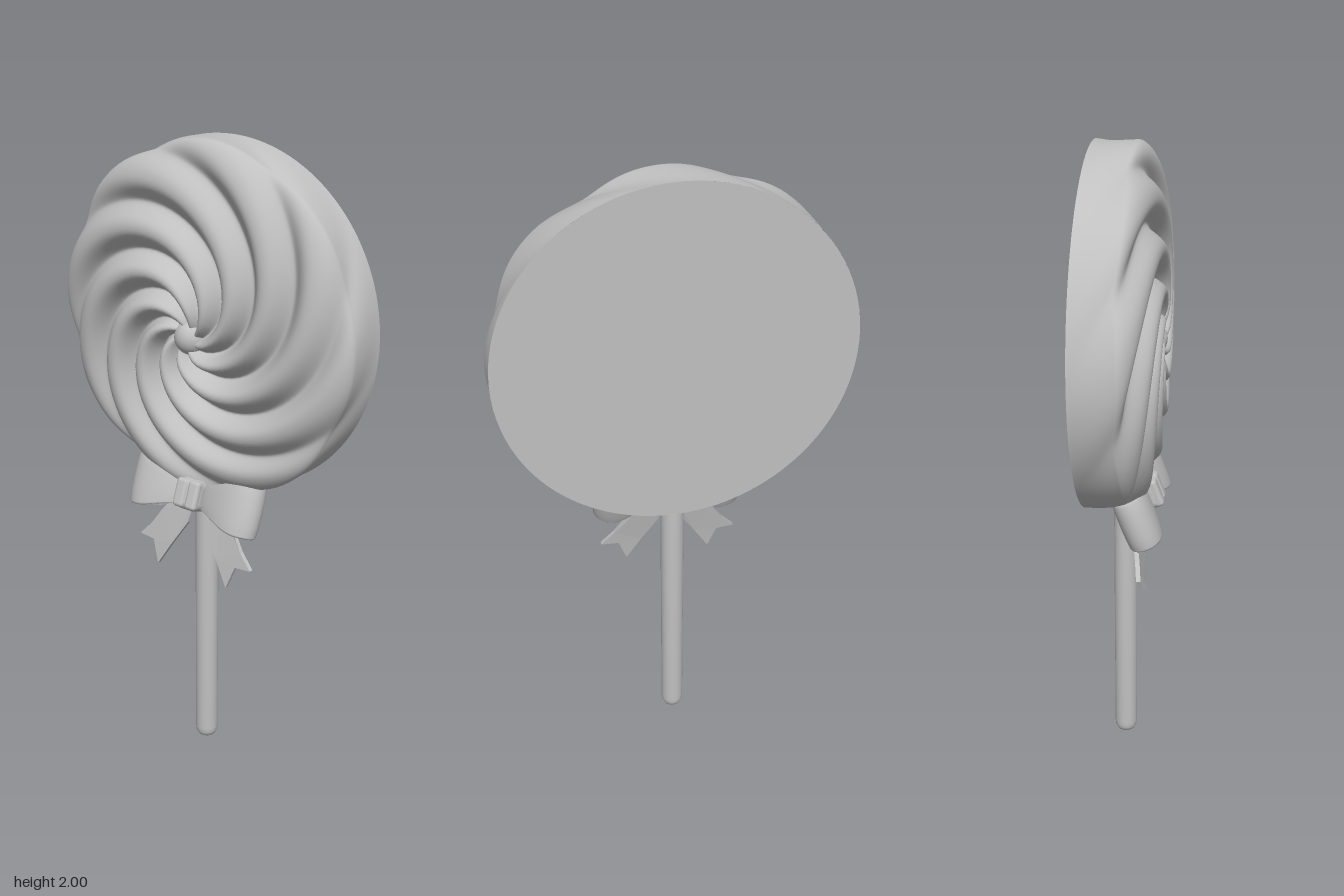
import * as THREE from 'three';
import { RoundedBoxGeometry } from 'three/addons/geometries/RoundedBoxGeometry.js';

// Surface through rows of closed loops; point(i, j) returns [x, y, z]
function loft(rows, cols, point) {
  const pos = [], index = [];
  for (let i = 0; i < rows; i++) {
    for (let j = 0; j < cols; j++) pos.push(...point(i, j));
  }
  for (let i = 0; i < rows - 1; i++) {
    for (let j = 0; j < cols; j++) {
      const k = (j + 1) % cols;
      const a = i * cols + j, b = (i + 1) * cols + j, c = (i + 1) * cols + k, d = i * cols + k;
      index.push(a, b, c, a, c, d);
    }
  }
  const g = new THREE.BufferGeometry();
  g.setAttribute('position', new THREE.Float32BufferAttribute(pos, 3));
  g.setIndex(index);
  g.computeVertexNormals();
  return g;
}

const R = 0.535, CY = 1.465, BACK = -0.11, LOBES = 8, PER = 20;

// Domed front and side wall with spiral lobes; mesh lines follow the twist
function candyGeometry() {
  const front = 44, wall = 10;
  return loft(front + wall + 1, LOBES * PER, (i, j) => {
    const u = Math.sin(((j % PER) / PER - 0.5) * Math.PI); // -1..1 across a lobe
    const groove = Math.pow(Math.abs(u), 2.4);
    const t = Math.min(i / front, 1);
    const w = Math.max(0, (i - front) / wall);
    const s = Math.sin(t * Math.PI / 2);
    let r = R * s;
    let z = 0.015 + 0.095 * Math.pow(Math.max(0, 1 - s ** 4), 0.6);
    const depth = 0.055 * Math.min(1, r / 0.12) * (1 - 0.75 * s ** 5);
    z -= depth * groove * (1 - w) + 0.035 * Math.exp(-((r / 0.06) ** 2));
    r -= 0.016 * s ** 6 * groove * (1 - w);
    z = THREE.MathUtils.lerp(z, BACK, w);
    const lobe = Math.floor(j / PER) + 0.5 * (1 + u * 0.35 + 0.65 * (2 * (j % PER) / PER - 1));
    const a = (lobe - 0.5) * 2 * Math.PI / LOBES - 0.13 + 3.2 * Math.pow(s, 0.75) + 0.35 * w;
    const cy = CY - 0.025 * (1 - s);
    return [r * Math.cos(a), cy + r * Math.sin(a), z];
  });
}

// Folded ribbon loop towards +x, with recessed openings above and below
function bowLoopGeometry() {
  const rows = [[-0.75, 0.02], [-0.75, 0.82], [-1, 0.86], [-1, 0.96], [-0.93, 1], [-0.5, 1.03],
    [0, 1.04], [0.5, 1.03], [0.93, 1], [1, 0.96], [1, 0.86], [0.75, 0.82], [0.75, 0.02]];
  return loft(rows.length, 40, (i, j) => {
    const [v, k] = rows[i];
    const a = -j / 40 * 2 * Math.PI;
    const f = (1 - Math.cos(a)) / 2;
    const x = 0.135 + (0.015 + 0.215 * f - 0.125) * k;
    const z = 0.066 * Math.sin(a) * (0.45 + 0.6 * f) * k;
    const h = 0.042 + 0.04 * THREE.MathUtils.smoothstep(f, 0, 0.85);
    return [x, v * h, z];
  });
}

// Thin notched ribbon end, swept forward towards its tip
function tailGeometry(side) {
  const pts = [[0.02, 0.89], [0.09, 0.89], [0.14, 0.835], [0.18, 0.775], [0.222, 0.73],
    [0.165, 0.725], [0.138, 0.65], [0.09, 0.73], [0.035, 0.815]];
  const shape = new THREE.Shape(pts.map(([x, y]) => new THREE.Vector2(x * side, y)));
  const g = new THREE.ExtrudeGeometry(shape, { depth: 0.014, bevelEnabled: false });
  const p = g.attributes.position;
  for (let i = 0; i < p.count; i++) {
    const drop = (0.89 - p.getY(i)) / 0.24;
    p.setZ(i, p.getZ(i) + 0.005 + 0.045 * Math.pow(drop, 0.8));
  }
  g.computeVertexNormals();
  return g;
}

export function createModel() {
  const model = new THREE.Group();
  model.name = 'lollipop';
  const grey = new THREE.MeshStandardMaterial({ color: 0xc0c0c0, side: THREE.DoubleSide });
  grey.name = 'light grey';
  const add = (name, geometry, parent = model) => {
    const mesh = new THREE.Mesh(geometry, grey);
    mesh.name = name;
    parent.add(mesh);
    return mesh;
  };

  // Candy head
  add('candySwirl', candyGeometry());
  const back = add('candyBack', new THREE.CircleGeometry(R, 96));
  back.rotation.y = Math.PI;
  back.position.set(0, CY, BACK);
  add('swirlCentre', new THREE.SphereGeometry(0.052, 32, 20)).position.set(0, 1.435, 0.055);

  // Stick with a rounded foot, running up into the candy
  const foot = [[0, 0], [0.018, 0.002], [0.03, 0.01], [0.036, 0.024], [0.037, 0.04], [0.037, 1.1], [0, 1.1]];
  const stick = add('stick', new THREE.LatheGeometry(foot.map(([x, y]) => new THREE.Vector2(x, y)), 32));
  stick.position.z = -0.019;

  // Bow, tilted back at the top
  const bow = new THREE.Group();
  bow.name = 'bow';
  bow.position.set(0, 0.923, 0.035);
  bow.rotation.x = -0.36;
  model.add(bow);
  const loop = bowLoopGeometry();
  add('leftBowLoop', loop, bow);
  add('rightBowLoop', loop, bow).rotation.y = Math.PI;
  add('bowKnot', new RoundedBoxGeometry(0.09, 0.1, 0.09, 4, 0.024), bow).position.z = 0.012;
  for (const x of [-0.023, 0.023]) {
    add('knotFold', new RoundedBoxGeometry(0.042, 0.092, 0.03, 3, 0.012), bow).position.set(x, 0, 0.046);
  }

  // Ribbon tails
  add('leftBowTail', tailGeometry(1));
  add('rightBowTail', tailGeometry(-1));
  return model;
}
